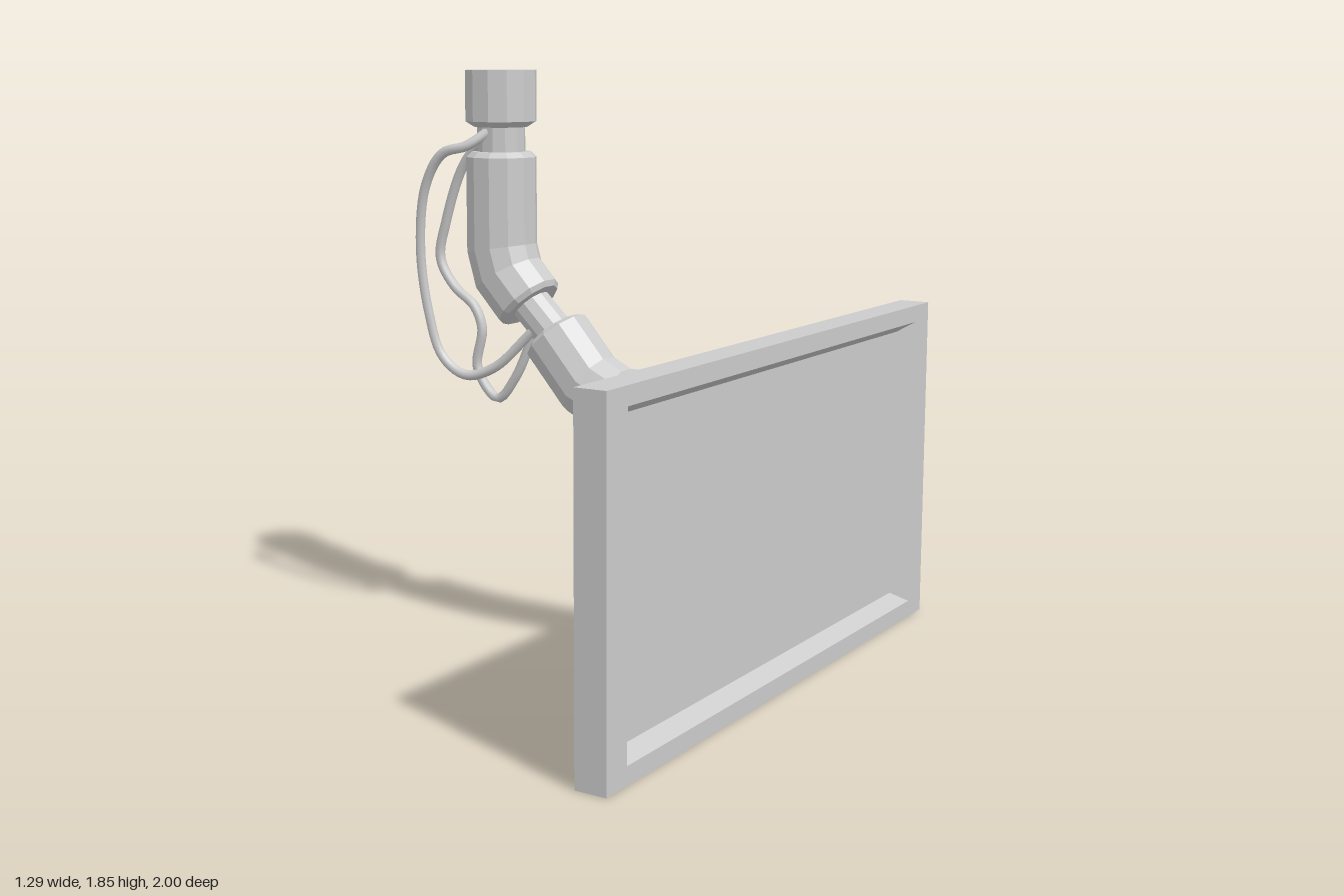
import * as THREE from 'three';
import { toCreasedNormals } from 'three/addons/utils/BufferGeometryUtils.js';

const SIDES = 12;
const flat = new THREE.MeshStandardMaterial({ color: 0xcccccc, flatShading: true });
const smooth = new THREE.MeshStandardMaterial({ color: 0xcccccc });

// Closed skin over a list of equal rings, with a cap at each end
function loft(rings) {
  const n = rings[0].length, pos = [];
  const tri = (...pts) => pts.forEach((p) => pos.push(p.x, p.y, p.z));
  const middle = (r) => r.reduce((s, p) => s.add(p), new THREE.Vector3()).divideScalar(n);
  const first = rings[0], last = rings[rings.length - 1];
  for (let j = 0; j < n; j++) {
    const k = (j + 1) % n;
    for (let i = 0; i < rings.length - 1; i++) {
      const a = rings[i], b = rings[i + 1];
      tri(a[j], a[k], b[k]);
      tri(a[j], b[k], b[j]);
    }
    tri(middle(first), first[k], first[j]);
    tri(middle(last), last[j], last[k]);
  }
  const g = new THREE.BufferGeometry();
  g.setAttribute('position', new THREE.Float32BufferAttribute(pos, 3));
  g.computeVertexNormals();
  return g;
}

// Mitred pipe in the xy plane; stations are [x, y, radius]
function pipe(stations) {
  const dir = (a, b) => new THREE.Vector2(b[0] - a[0], b[1] - a[1]).normalize();
  return loft(stations.map((s, i) => {
    const d1 = dir(stations[Math.max(i - 1, 0)], stations[Math.max(i, 1)]);
    const end = Math.min(i + 1, stations.length - 1);
    const d2 = dir(stations[end - 1], stations[end]);
    const t = d1.clone().add(d2).normalize();
    const stretch = s[2] / t.dot(d1);
    return Array.from({ length: SIDES }, (_, j) => {
      const a = (j + 0.5) / SIDES * Math.PI * 2, c = Math.cos(a) * stretch;
      return new THREE.Vector3(s[0] - t.y * c, s[1] + t.x * c, Math.sin(a) * s[2]);
    });
  }));
}

function rectangle(x, y0, y1, z) {
  return [[y1, -z], [y1, z], [y0, z], [y0, -z]].map(([y, w]) => new THREE.Vector3(x, y, w));
}

function cable(points) {
  const curve = new THREE.CatmullRomCurve3(points.map((p) => new THREE.Vector3(...p)));
  return new THREE.TubeGeometry(curve, 64, 0.016, 8);
}

export function createModel() {
  const group = new THREE.Group();
  const add = (name, geometry, material = flat) => {
    const mesh = new THREE.Mesh(geometry, material);
    mesh.name = name;
    group.add(mesh);
  };

  // Panel with a sloped recess in its outer face
  add('panel', loft([
    rectangle(0.545, 0, 1.07, 1),
    rectangle(0.645, 0, 1.07, 1),
    rectangle(0.645, 0.055, 1.015, 0.9),
    rectangle(0.6, 0.09, 0.985, 0.845),
  ]));

  // Flared collar holding the panel
  add('panelMount', toCreasedNormals(pipe([
    [0.39, 0.82, 0.112], [0.41, 0.82, 0.115], [0.48, 0.823, 0.163], [0.55, 0.823, 0.163],
  ]), 0.6), smooth);

  // Bent arm sections, chamfered at the joints
  add('lowerArm', pipe([
    [-0.195, 1.028, 0.09], [-0.184, 1.015, 0.113], [-0.06, 0.873, 0.113],
    [0.05, 0.82, 0.112], [0.4, 0.82, 0.112],
  ]));
  add('elbowJoint', pipe([[-0.31, 1.135, 0.065], [-0.17, 1.0, 0.065]]));
  add('upperArm', pipe([
    [-0.395, 1.59, 0.095], [-0.395, 1.573, 0.113], [-0.395, 1.285, 0.113],
    [-0.37, 1.2, 0.113], [-0.293, 1.117, 0.113], [-0.283, 1.106, 0.1],
  ]));

  // Neck and round fixing at the top
  add('neck', pipe([[-0.395, 1.68, 0.077], [-0.395, 1.58, 0.077]]));
  add('topFixing', pipe([
    [-0.395, 1.845, 0.114], [-0.395, 1.685, 0.114], [-0.395, 1.667, 0.085],
  ]));

  // Loose cables looping past the elbow
  add('outerCable', cable([
    [-0.4, 1.655, 0.06], [-0.45, 1.61, 0.11], [-0.53, 1.585, 0.13], [-0.6, 1.48, 0.13],
    [-0.632, 1.28, 0.12], [-0.61, 1.07, 0.11], [-0.565, 0.93, 0.1], [-0.48, 0.875, 0.09],
    [-0.38, 0.905, 0.07], [-0.25, 1.03, 0.04],
  ]), smooth);
  add('innerCable', cable([
    [-0.42, 1.64, 0.025], [-0.49, 1.59, 0.025], [-0.54, 1.52, 0.025], [-0.6, 1.36, 0.025],
    [-0.625, 1.24, 0.025], [-0.57, 1.15, 0.025], [-0.49, 1.09, 0.025], [-0.46, 1.02, 0.025],
    [-0.48, 0.89, 0.025], [-0.4, 0.797, 0.025], [-0.33, 0.87, 0.025], [-0.25, 1.04, 0.02],
  ]), smooth);

  return group;
}
